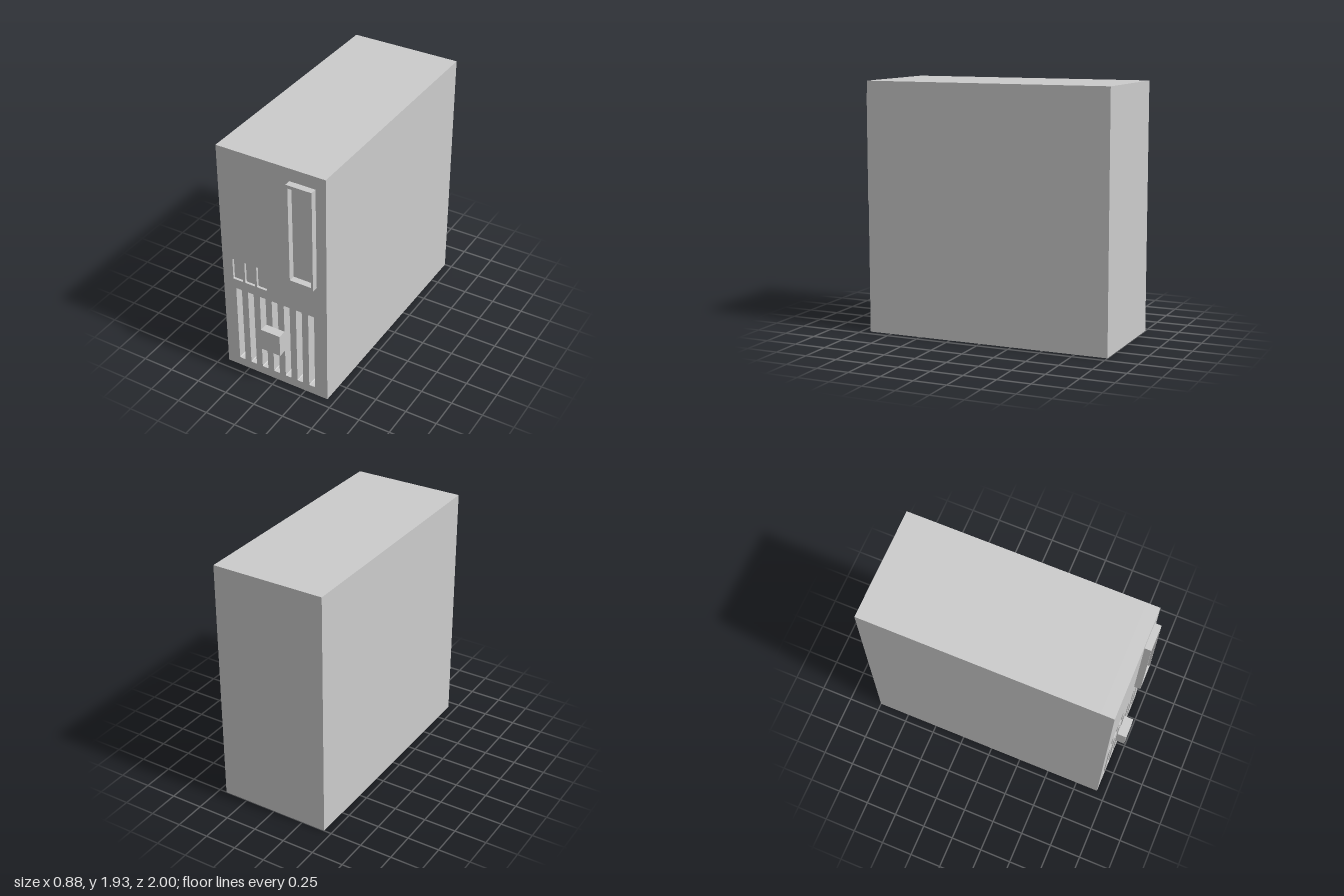
import * as THREE from 'three';

const material = new THREE.MeshStandardMaterial({ color: 0xcccccc, flatShading: true });

// Rectangle outline with slightly clipped corners (c = 0 gives sharp corners)
function rect(Type, x0, x1, y0, y1, c = 0) {
  const points = c
    ? [[x0 + c, y0], [x1 - c, y0], [x1, y0 + c], [x1, y1 - c],
       [x1 - c, y1], [x0 + c, y1], [x0, y1 - c], [x0, y0 + c]]
    : [[x0, y0], [x1, y0], [x1, y1], [x0, y1]];
  return new Type(points.map(([x, y]) => new THREE.Vector2(x, y)));
}

export function createModel() {
  const model = new THREE.Group();
  model.name = 'computerTower';

  const HALF_W = 0.44, HEIGHT = 1.93, BACK = -1, FRONT = 0.93, PANEL = 0.1;

  function add(name, geometry, x = 0, y = 0, z = 0) {
    const mesh = new THREE.Mesh(geometry, material);
    mesh.name = name;
    mesh.position.set(x, y, z);
    model.add(mesh);
  }
  const extrude = (shape, depth) =>
    new THREE.ExtrudeGeometry(shape, { depth, bevelEnabled: false });

  // Case behind the front panel
  const caseDepth = FRONT - PANEL - BACK;
  add('case', new THREE.BoxGeometry(2 * HALF_W, HEIGHT, caseDepth),
    0, HEIGHT / 2, BACK + caseDepth / 2);

  // Front panel pierced by the ventilation slots and button openings
  const panel = rect(THREE.Shape, -HALF_W, HALF_W, 0, HEIGHT);
  for (let i = -3; i <= 3; i++) {
    const x = i * 0.103;
    panel.holes.push(rect(THREE.Path, x - 0.025, x + 0.025, 0.07, 0.735, 0.005));
  }
  const buttons = [-0.311, -0.207, -0.105];
  for (const x of buttons) {
    panel.holes.push(rect(THREE.Path, x - 0.043, x + 0.043, 0.815, 0.995, 0.004));
  }
  add('frontPanel', extrude(panel, PANEL), 0, 0, FRONT - PANEL);

  // Buttons sunk slightly into their openings
  for (const x of buttons) {
    add('button', extrude(rect(THREE.Shape, x - 0.043, x + 0.043, 0.815, 0.995, 0.004),
      PANEL - 0.02), 0, 0, FRONT - PANEL);
  }

  // Raised frame of the drive bay
  const frame = rect(THREE.Shape, 0.155, 0.36, 1.01, 1.83);
  frame.holes.push(rect(THREE.Path, 0.17, 0.345, 1.035, 1.805));
  add('driveBayFrame', extrude(frame, 0.05), 0, 0, FRONT);

  // Latch block with a small arched notch underneath
  const latch = new THREE.Shape([
    [-0.08, 0.315], [-0.025, 0.315], [-0.02, 0.323], [0, 0.333], [0.02, 0.323],
    [0.025, 0.315], [0.08, 0.315], [0.08, 0.495], [-0.08, 0.495],
  ].map(([x, y]) => new THREE.Vector2(x, y)));
  add('latch', extrude(latch, 0.07), 0, 0, FRONT);

  return model;
}
